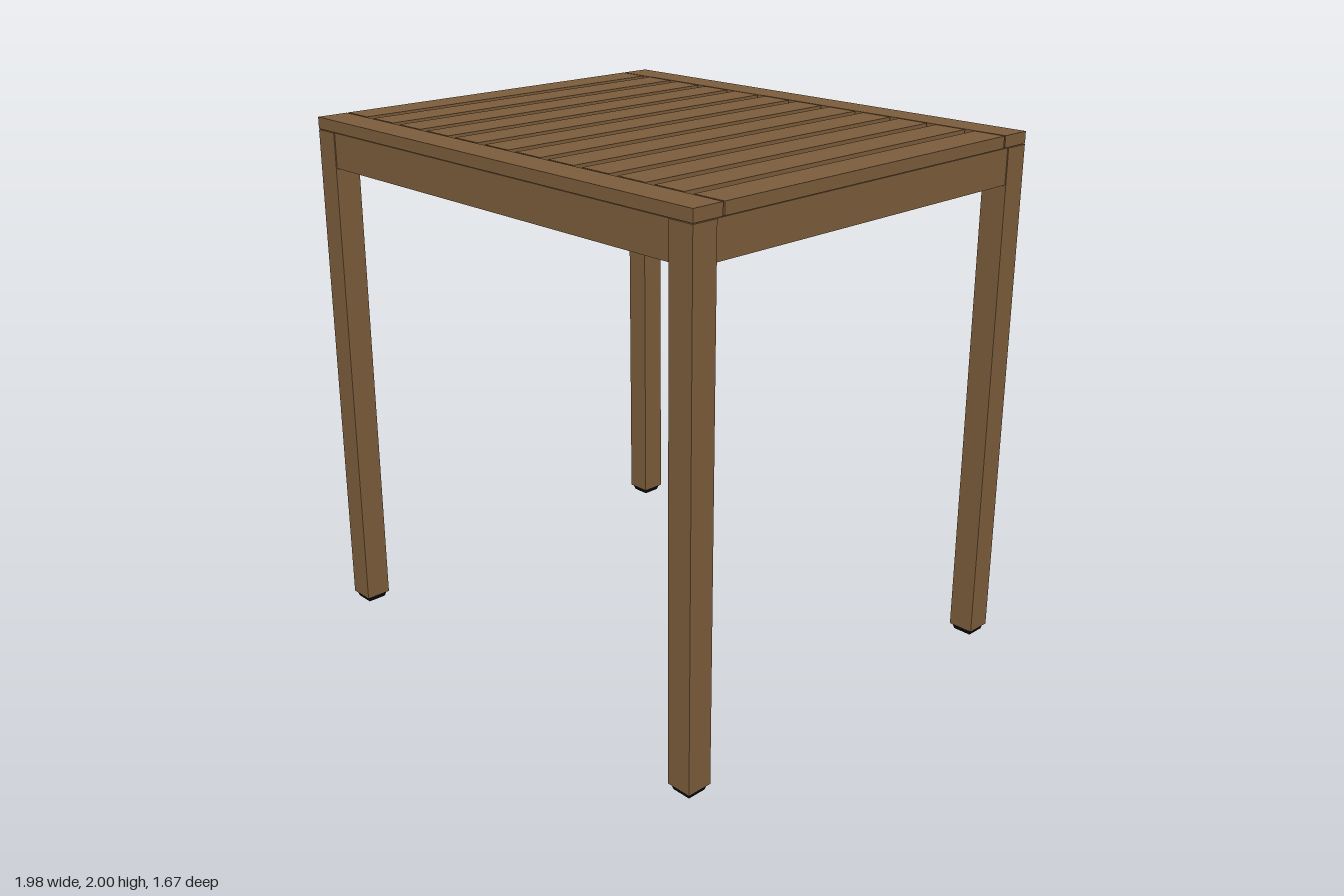
import * as THREE from 'three';

const mat = (name, color) => {
  const m = new THREE.MeshStandardMaterial({ color });
  m.name = name;
  return m;
};

export function createModel() {
  const wood = mat('stained wood', 0x7b5c3b);
  const rubber = mat('black foot pad', 0x0a0a0a);
  const steel = mat('galvanised steel', 0xb2c0ba);
  const darkSteel = mat('fastener steel', 0x6f7a76);

  const table = new THREE.Group();
  table.name = 'slattedTable';

  const add = (parent, name, geo, material, x, y, z) => {
    const mesh = new THREE.Mesh(geo, material);
    mesh.name = name;
    mesh.position.set(x, y, z);
    parent.add(mesh);
    return mesh;
  };
  // Box given by its min and max on each axis
  const box = (name, material, [x0, x1], [y0, y1], [z0, z1]) =>
    add(table, name, new THREE.BoxGeometry(x1 - x0, y1 - y0, z1 - z0), material,
      (x0 + x1) / 2, (y0 + y1) / 2, (z0 + z1) / 2);

  const X = 0.99, Z = 0.833, LEG = 0.1;      // outer half sizes, leg thickness
  const innerX = 0.92, innerZ = 0.763;       // inner faces of the aprons
  const frameTop = 1.953, boardBottom = 1.956;

  // Legs with foot pads
  const padGeo = new THREE.CylinderGeometry(0.062, 0.052, 0.025, 4).rotateY(Math.PI / 4);
  for (const sx of [-1, 1]) for (const sz of [-1, 1]) {
    const cx = sx * (X - LEG / 2), cz = sz * (Z - LEG / 2);
    add(table, 'leg', new THREE.BoxGeometry(LEG, frameTop - 0.022, LEG), wood,
      cx, (frameTop + 0.022) / 2, cz);
    add(table, 'footPad', padGeo, rubber, cx, 0.0125, cz);
  }

  // Aprons between the legs
  const ay = [1.82, frameTop];
  for (const s of [-1, 1]) {
    const span = (a, b) => [Math.min(s * a, s * b), Math.max(s * a, s * b)];
    box('longApron', wood, [-X + LEG, X - LEG], ay, span(innerZ, Z - 0.004));
    box('sideApron', wood, span(innerX, X - 0.004), ay, [-Z + LEG, Z - LEG]);
    box('endBoard', wood, [-X, X], [boardBottom, 2], span(0.709, Z));
  }

  // Tabletop slats and the batten under them
  box('batten', wood, [-innerX, innerX], [1.915, boardBottom], [-0.065, 0.065]);
  const count = 12, width = 0.128, pitch = (2 * X - width) / (count - 1);
  const screwGeo = new THREE.CylinderGeometry(0.007, 0.007, 0.004, 10);
  for (let i = 0; i < count; i++) {
    const x = -X + width / 2 + i * pitch;
    box('slat', wood, [x - width / 2, x + width / 2], [boardBottom, 2], [-0.702, 0.702]);
    if (i > 0 && i < count - 1) add(table, 'battenScrew', screwGeo, darkSteel, x, 1.914, 0);
  }

  // Corner brackets: a diagonal plate with a flange on each apron
  const profile = new THREE.Shape([
    [0, -0.24], [0, -0.14], [-0.14, 0], [-0.24, 0],
    [-0.24, -0.008], [-0.144, -0.008], [-0.008, -0.144], [-0.008, -0.24],
  ].map(([x, z]) => new THREE.Vector2(x, z)));
  const plateGeo = new THREE.ExtrudeGeometry(profile, { depth: 0.095, bevelEnabled: false })
    .rotateX(Math.PI / 2);
  const peg = (r, len, sides, angle) =>
    new THREE.CylinderGeometry(r, r, len, sides).rotateX(Math.PI / 2).rotateY(angle);
  const boltGeo = peg(0.009, 0.11, 12, Math.PI / 4);
  const nutGeo = peg(0.018, 0.016, 6, Math.PI / 4);
  const headZ = peg(0.009, 0.006, 10, 0), headX = peg(0.009, 0.006, 10, Math.PI / 2);

  [[1, 1], [1, -1], [-1, -1], [-1, 1]].forEach(([sx, sz], i) => {
    const bracket = new THREE.Group();
    bracket.name = 'cornerBracket';
    bracket.position.set(sx * innerX, 1.935, sz * innerZ);
    bracket.rotation.y = i * Math.PI / 2;
    add(bracket, 'bracketPlate', plateGeo, steel, 0, 0, 0);
    add(bracket, 'bolt', boltGeo, steel, -0.06, -0.048, -0.06);
    add(bracket, 'nut', nutGeo, darkSteel, -0.082, -0.048, -0.082);
    for (const y of [-0.024, -0.071]) {
      add(bracket, 'flangeScrew', headZ, darkSteel, -0.195, y, -0.01);
      add(bracket, 'flangeScrew', headX, darkSteel, -0.01, y, -0.195);
    }
    table.add(bracket);
  });

  return table;
}
